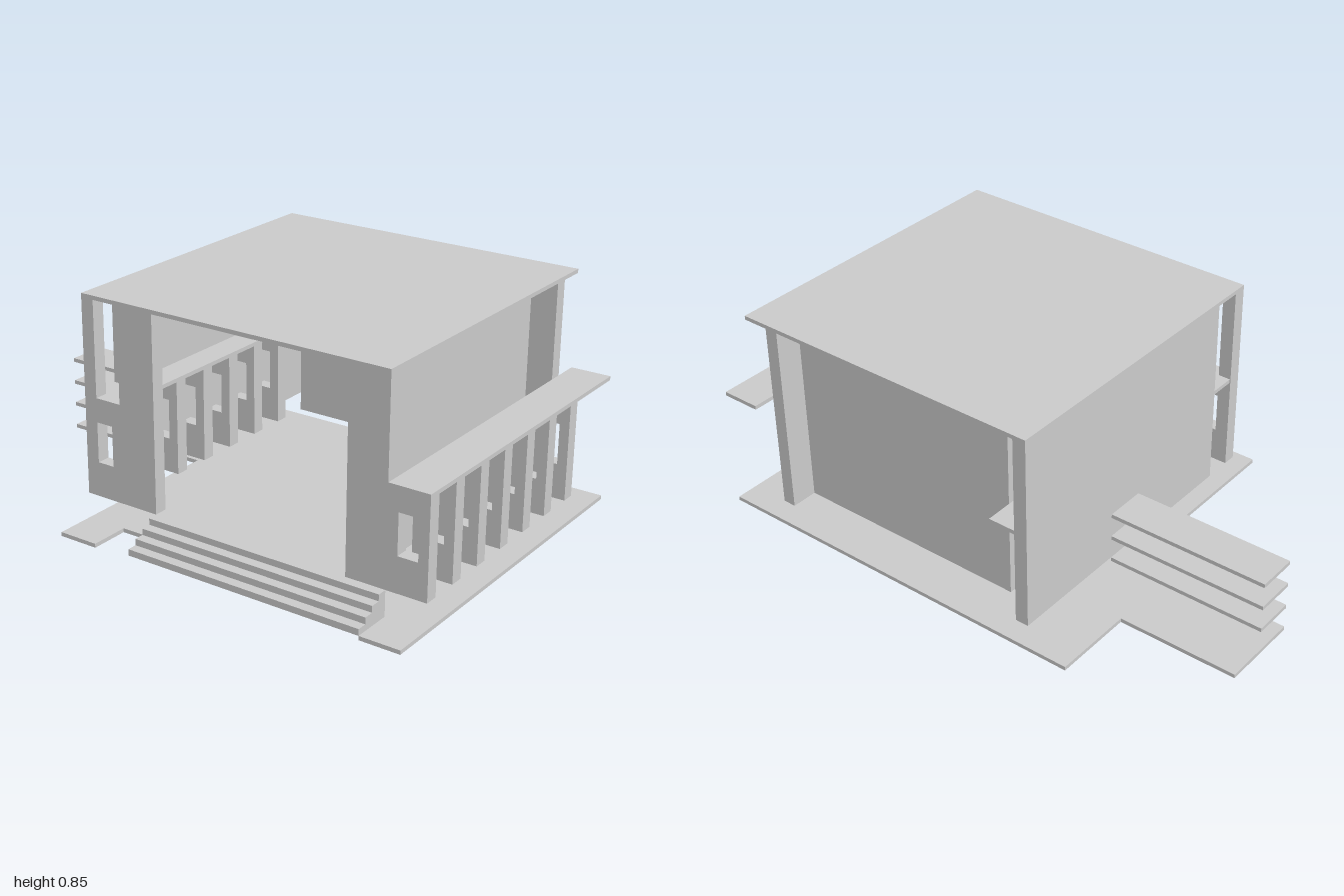
import * as THREE from 'three';

const material = new THREE.MeshStandardMaterial({ color: 0xcccccc, flatShading: true });

// Box given by its limits along each axis
function block(parent, name, [x0, x1], [y0, y1], [z0, z1]) {
  const mesh = new THREE.Mesh(new THREE.BoxGeometry(x1 - x0, y1 - y0, z1 - z0), material);
  mesh.position.set((x0 + x1) / 2, (y0 + y1) / 2, (z0 + z1) / 2);
  mesh.name = name;
  parent.add(mesh);
  return mesh;
}

function extrude(points, depth, hole) {
  const toVec = ([a, b]) => new THREE.Vector2(a, b);
  const shape = new THREE.Shape(points.map(toVec));
  if (hole) shape.holes.push(new THREE.Path(hole.map(toVec)));
  return new THREE.ExtrudeGeometry(shape, { depth, bevelEnabled: false });
}

const rect = (a0, a1, b0, b1) => [[a0, b0], [a1, b0], [a1, b1], [a0, b1]];

// Main levels, wall thickness and bay spacing
const BASE = 0.015, FLOOR = 0.11, CANOPY = 0.465, CANOPY_TOP = 0.48, CEILING = 0.835, ROOF = 0.85;
const T = 0.051, BAY = 0.154, LEFT = -0.54, RIGHT = 0.69, BACK = -0.385, FRONT = 0.848;
const WALL = [FLOOR, CEILING];

// Arcade: a row of fins with windows carrying a thin canopy
function arcade(name, z0) {
  const group = new THREE.Group();
  group.name = name;
  const fin = extrude(rect(0, 0.152, FLOOR, CANOPY), T, rect(0.04, 0.115, 0.24, 0.39).reverse());
  fin.rotateY(-Math.PI / 2); // profile runs along +z, thickness along -x
  for (let i = 0; i < 7; i++) {
    const mesh = new THREE.Mesh(fin, material);
    mesh.name = 'arcadeFin';
    mesh.position.set(LEFT + T + i * BAY, 0, z0);
    group.add(mesh);
  }
  block(group, 'arcadeCanopy', [LEFT, RIGHT], [CANOPY, CANOPY_TOP], [z0, z0 + 0.152]);
  return group;
}

// Entrance steps: a thin stepped shell over a row of ribs
function entranceSteps() {
  const group = new THREE.Group();
  group.name = 'entranceSteps';
  const x0 = -0.69, run = (LEFT - x0) / 4, rise = (FLOOR - BASE) / 4, t = 0.01;
  const z0 = -0.08, length = FRONT - z0;
  const outer = [[x0, BASE]], inner = [[x0 + t, BASE]];
  for (let i = 0; i < 4; i++) {
    const x = x0 + i * run, y = BASE + (i + 1) * rise, end = x + run;
    outer.push([x, y], [end, y]);
    inner.push([x + t, y - t], [i < 3 ? end + t : end - t, y - t]);
  }
  outer.push([LEFT, BASE]);
  inner.push([LEFT - t, BASE]);
  const shell = new THREE.Mesh(extrude([...outer, ...inner.reverse()], length), material);
  shell.name = 'stepShell';
  shell.position.z = z0;
  group.add(shell);
  const rib = extrude(outer, 0.02);
  for (let i = 0; i < 7; i++) {
    const mesh = new THREE.Mesh(rib, material);
    mesh.name = 'stepRib';
    mesh.position.z = z0 + i * (length - 0.02) / 6;
    group.add(mesh);
  }
  return group;
}

export function createModel() {
  const model = new THREE.Group();
  model.name = 'pavilion';

  // Ground slab with side notches and a rear extension
  const outline = [
    [-0.69, 1], [0.69, 1], [0.69, -0.54], [0.38, -0.54], [0.38, -1], [0.075, -1], [0.075, BACK],
    [-0.69, BACK], [-0.69, -0.23], [LEFT, -0.23], [LEFT, FRONT], [-0.69, FRONT],
  ].map(([x, z]) => [x, -z]);
  const slab = new THREE.Mesh(extrude(outline, BASE).rotateX(-Math.PI / 2), material);
  slab.name = 'groundSlab';
  model.add(slab);

  // Roof
  block(model, 'roof', [LEFT, RIGHT], [CEILING, ROOF], [BACK, FRONT]);

  // Long walls, sliding past one another at the corners
  block(model, 'frontWall', [-0.385, RIGHT], WALL, [0.697, 0.748]);
  block(model, 'backWall', [-0.385, RIGHT], WALL, [BACK, BACK + T]);
  block(model, 'sideWall', [0.538, 0.538 + T], WALL, [-0.23, FRONT]);

  // Piers on the open side
  const pier = [LEFT, LEFT + T];
  block(model, 'cornerPost', pier, WALL, [BACK, BACK + T]);
  block(model, 'rearPier', pier, WALL, [-0.23, -0.08]);
  block(model, 'frontPier', pier, WALL, [0.697, FRONT]);

  // Arcades outside the front wall and inside the back wall
  model.add(arcade('frontArcade', FRONT));
  const backArcade = arcade('backArcade', -0.23);
  backArcade.position.z = -0.152;
  model.add(backArcade);

  model.add(entranceSteps());

  // Stacked shelves behind the back wall
  for (let i = 0; i < 3; i++) {
    const y = 0.095 + i * 0.093;
    block(model, 'rearShelf', [0.075, 0.23], [y, y + 0.015], [-1, BACK]);
  }
  return model;
}
